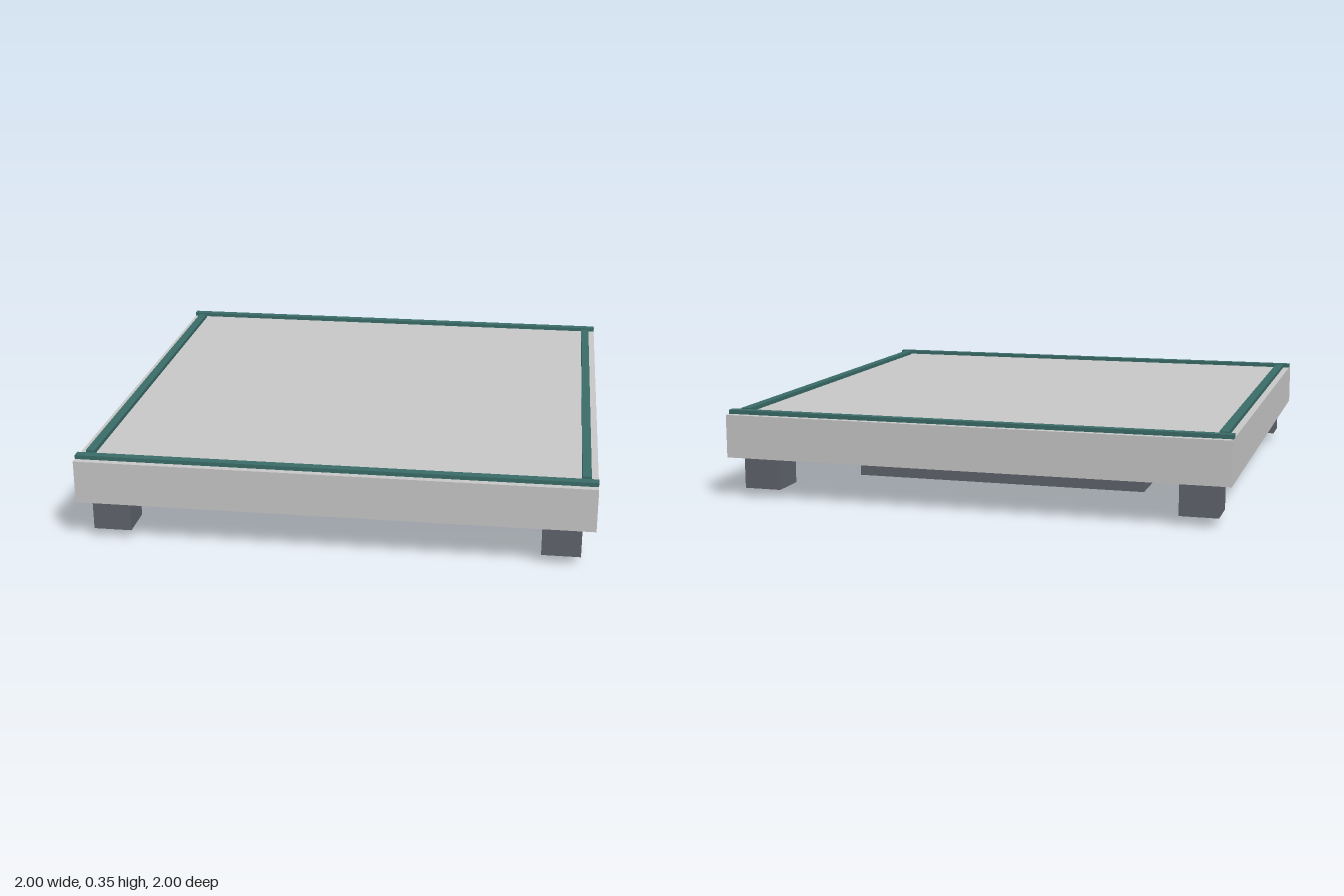
import * as THREE from 'three';

const material = (color) => new THREE.MeshStandardMaterial({ color });

export function createModel() {
  const model = new THREE.Group();
  const grey = material(0xcccccc);
  const dark = material(0x62666e);
  const teal = material(0x3b6e6a);
  const bronze = material(0x8c7756);

  // Box given by its width, depth, bottom and top heights, and centre
  const box = (name, mat, w, d, y0, y1, x = 0, z = 0) => {
    const mesh = new THREE.Mesh(new THREE.BoxGeometry(w, y1 - y0, d), mat);
    mesh.name = name;
    mesh.position.set(x, (y0 + y1) / 2, z);
    model.add(mesh);
  };

  // Platform with the stepped block under its middle
  box('slab', grey, 2, 2, 0.166, 0.337);
  box('underBlock', dark, 1.2, 1.2, 0.035, 0.166);
  box('basePlate', bronze, 0.84, 0.84, 0, 0.035);

  for (const s of [-1, 1]) {
    // Edge strips: full length at front and back, shorter at the sides
    box(s > 0 ? 'frontStrip' : 'backStrip', teal, 2, 0.035, 0.337, 0.353, 0, s * 0.956);
    box(s > 0 ? 'leftStrip' : 'rightStrip', teal, 0.035, 1.834, 0.337, 0.353, s * 0.956, 0);

    // Corner feet
    for (const t of [-1, 1]) {
      const name = (t > 0 ? 'front' : 'back') + (s > 0 ? 'Left' : 'Right') + 'Foot';
      box(name, dark, 0.15, 0.15, 0.035, 0.166, s * 0.875, t * 0.875);
    }
  }
  return model;
}
